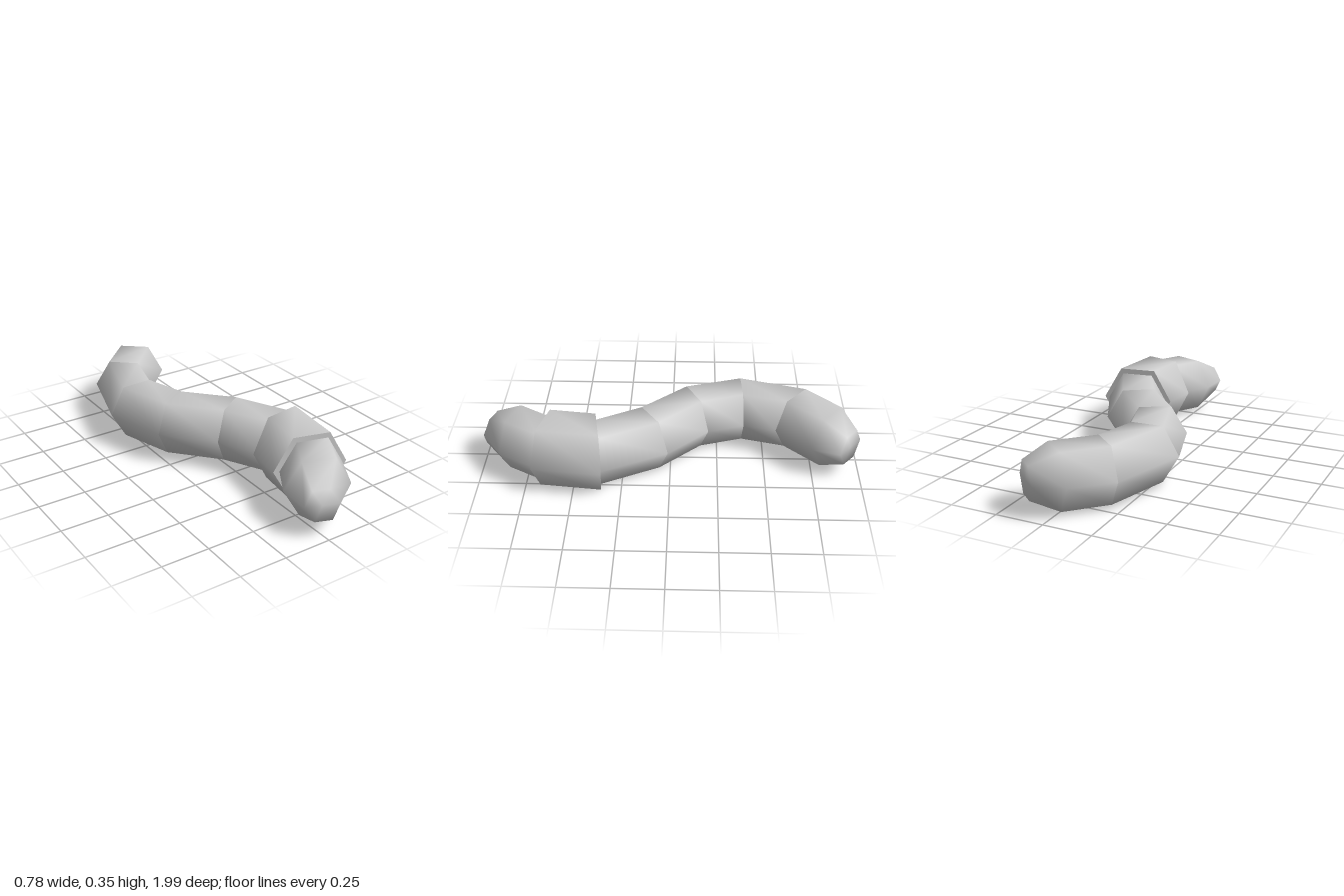
import * as THREE from 'three';

const SIDES = 6;
const MID_Y = 0.174;

// Hexagonal cross-section between two side points in plan, with a half-height and an optional backward lean
const ring = (x0, z0, x1, z1, h = 0.145, lean = 0) =>
  Array.from({ length: SIDES }, (_, k) => {
    const a = (k * Math.PI * 2) / SIDES;
    const c = Math.cos(a) / 2, s = Math.sin(a) / Math.sin(Math.PI / 3);
    return [
      (x0 + x1) / 2 + (x1 - x0) * c,
      MID_Y + s * h,
      (z0 + z1) / 2 + (z1 - z0) * c - s * lean,
    ];
  });

const centre = (r) => [0, 1, 2].map((i) => r.reduce((t, p) => t + p[i], 0) / r.length);

// Skin a run of rings, optionally closing its ends; shading is smooth within one skin
function skin(rings, capStart = false, capEnd = false) {
  const points = rings.flat();
  const index = [];
  const at = (i, k) => i * SIDES + (k % SIDES);
  for (let i = 0; i < rings.length - 1; i++)
    for (let k = 0; k < SIDES; k++) {
      const a = at(i, k), b = at(i, k + 1), c = at(i + 1, k + 1), d = at(i + 1, k);
      index.push(a, b, c, a, c, d);
    }
  const cap = (i, flip) => {
    const m = points.push(centre(rings[i])) - 1;
    for (let k = 0; k < SIDES; k++)
      index.push(m, at(i, k + (flip ? 1 : 0)), at(i, k + (flip ? 0 : 1)));
  };
  if (capStart) cap(0, true);
  if (capEnd) cap(rings.length - 1, false);
  const g = new THREE.BufferGeometry();
  g.setAttribute('position', new THREE.Float32BufferAttribute(points.flat(), 3));
  g.setIndex(index);
  g.computeVertexNormals();
  return g;
}

export function createModel() {
  const model = new THREE.Group();
  model.name = 'worm';
  const material = new THREE.MeshStandardMaterial({ color: 0xcccccc });
  const add = (name, geometry) => {
    const mesh = new THREE.Mesh(geometry, material);
    mesh.name = name;
    model.add(mesh);
  };

  // Rings from tail to head
  const tailTip = ring(0.05, -1.0, 0.19, -0.88, 0.085);
  const tailRing = ring(-0.1, -0.95, 0.15, -0.74);
  const body = [
    ring(-0.27, -0.78, -0.02, -0.56),
    ring(-0.39, -0.37, -0.06, -0.39),
    ring(-0.29, -0.04, 0.0, -0.2),
    ring(-0.08, 0.2, 0.2, 0.01),
    ring(0.03, 0.4, 0.36, 0.34),
    ring(0.01, 0.6, 0.33, 0.69),
  ];
  const headRing = ring(-0.09, 0.76, 0.225, 0.88);
  const headTip = ring(-0.1, 0.93, 0.065, 0.99, 0.075, 0.015);

  // Tail with blunt tapered end
  add('tail', skin([tailTip, tailRing, body[0]], true));

  // Winding body segments
  for (let i = 0; i < body.length - 1; i++)
    add(`bodySegment${i + 1}`, skin([body[i], body[i + 1]]));

  // Head with tapered snout
  add('head', skin([body[5], headRing, headTip], false, true));

  // Thicker collar band, with flat end faces
  const back = ring(0.0, 0.4, 0.388, 0.34, 0.173);
  const front = ring(-0.027, 0.6, 0.35, 0.7, 0.173);
  add('collar', skin([back, front]));
  add('collarBackFace', skin([back], true));
  add('collarFrontFace', skin([front], false, true));

  return model;
}
